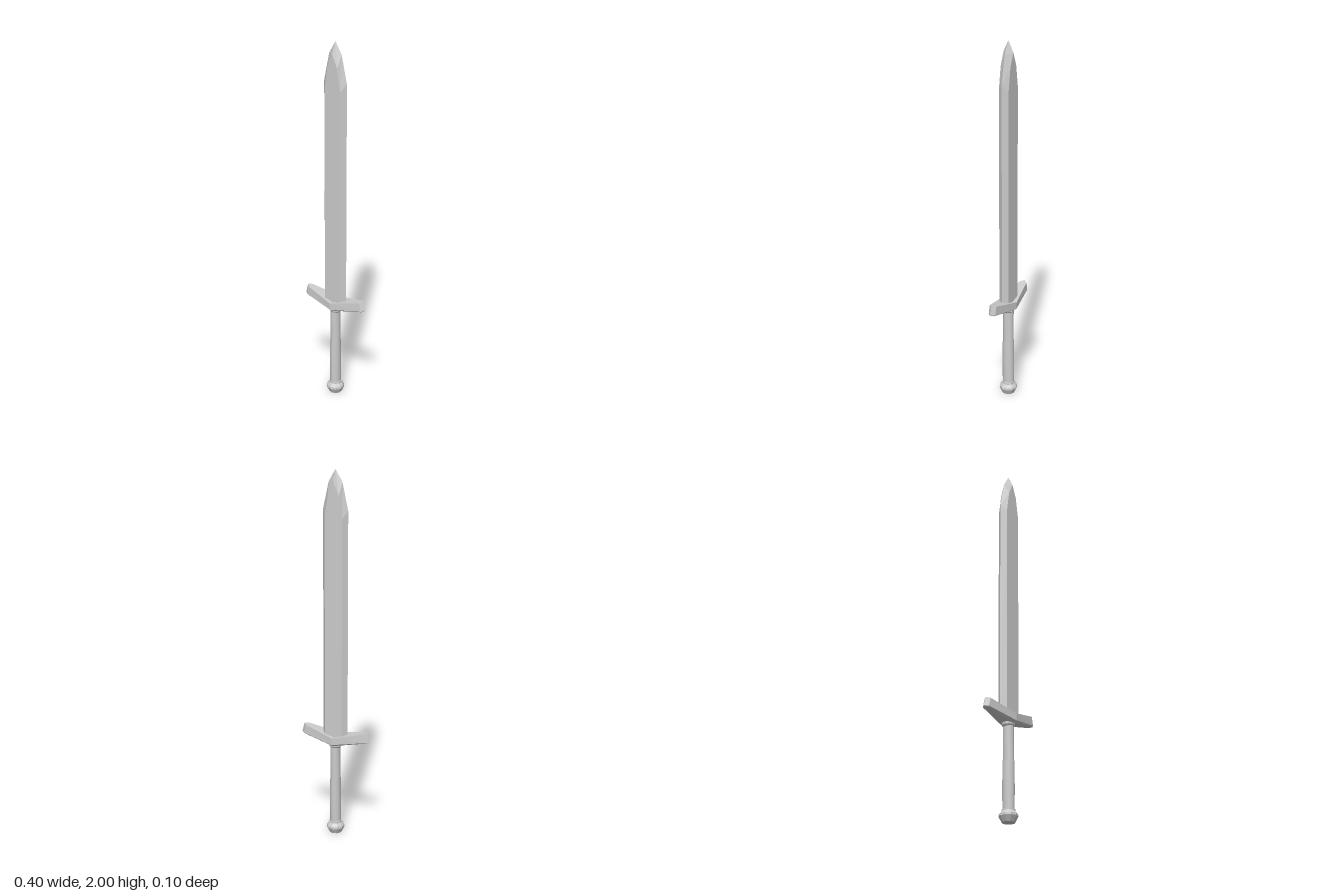
import * as THREE from 'three';

const material = new THREE.MeshStandardMaterial({ color: 0xcccccc, flatShading: true });
const smooth = new THREE.MeshStandardMaterial({ color: 0xcccccc });

// Skins equal-length loops of points (counter-clockwise seen from the last loop) and caps both ends.
function loft(loops) {
  const n = loops[0].length;
  const index = [];
  for (let r = 0; r < loops.length - 1; r++) {
    for (let i = 0; i < n; i++) {
      const j = (i + 1) % n, a = r * n, b = a + n;
      index.push(a + i, a + j, b + j, a + i, b + j, b + i);
    }
  }
  const top = (loops.length - 1) * n;
  for (let i = 1; i < n - 1; i++) {
    index.push(0, i + 1, i, top, top + i, top + i + 1);
  }
  const geo = new THREE.BufferGeometry();
  geo.setAttribute('position', new THREE.Float32BufferAttribute(loops.flat(2), 3));
  geo.setIndex(index);
  const flat = geo.toNonIndexed();
  flat.computeVertexNormals();
  return flat;
}

function addMesh(group, name, geometry, mat = material) {
  const mesh = new THREE.Mesh(geometry, mat);
  mesh.name = name;
  group.add(mesh);
}

function lathe(profile, sides) {
  return new THREE.LatheGeometry(profile.map(([r, y]) => new THREE.Vector2(r, y)), sides);
}

export function createModel() {
  const sword = new THREE.Group();
  sword.name = 'sword';

  // Blade: six-sided section; [edge x, edge y, flat x, flat y]
  const depth = 0.028;
  const bladeRows = [
    [0.071, 0.545, 0.049, 0.545],
    [0.071, 1.79, 0.049, 1.75],
    [0.039, 1.935, 0.03, 1.87],
    [0, 2, 0, 1.94],
  ];
  addMesh(sword, 'blade', loft(bladeRows.map(([ex, ey, fx, fy]) => [
    [ex, ey, 0], [fx, fy, -depth], [-fx, fy, -depth],
    [-ex, ey, 0], [-fx, fy, depth], [fx, fy, depth],
  ])));

  // Crossguard: rising arms that taper to pointed ends
  // [top x, top y, top z, side x, side y, side z, keel x, keel y, keel z]
  const arm = [
    [0, 0.565, 0.051, 0, 0.527, 0.051, 0, 0.515, 0.034],
    [0.17, 0.605, 0.02, 0.181, 0.558, 0.02, 0.182, 0.554, 0.016],
    [0.187, 0.609, 0, 0.199, 0.561, 0, 0.199, 0.558, 0],
  ];
  const section = ([tx, ty, tz, sx, sy, sz, kx, ky, kz], m) => [
    [m * tx, ty, tz], [m * sx, sy, sz], [m * kx, ky, kz],
    [m * kx, ky, -kz], [m * sx, sy, -sz], [m * tx, ty, -tz],
  ];
  addMesh(sword, 'crossguard', loft([
    section(arm[2], -1), section(arm[1], -1), section(arm[0], 1),
    section(arm[1], 1), section(arm[2], 1),
  ]));

  // Grip: oval handle, slightly fuller in its lower part
  const grip = lathe([[0.029, 0.055], [0.03, 0.18], [0.029, 0.31], [0.027, 0.33], [0.027, 0.52]], 16);
  grip.scale(1, 1, 1.1);
  grip.computeVertexNormals();
  addMesh(sword, 'grip', grip, smooth);

  // Collar under the guard
  addMesh(sword, 'collar', lathe([[0.027, 0.5], [0.034, 0.51], [0.034, 0.53]], 16));

  // Pommel: faceted knob with a thin ring above it
  addMesh(sword, 'pommel', lathe([
    [0, 0], [0.034, 0], [0.049, 0.03], [0.048, 0.042], [0.034, 0.059],
    [0.034, 0.068], [0.027, 0.07],
  ], 10));

  return sword;
}
